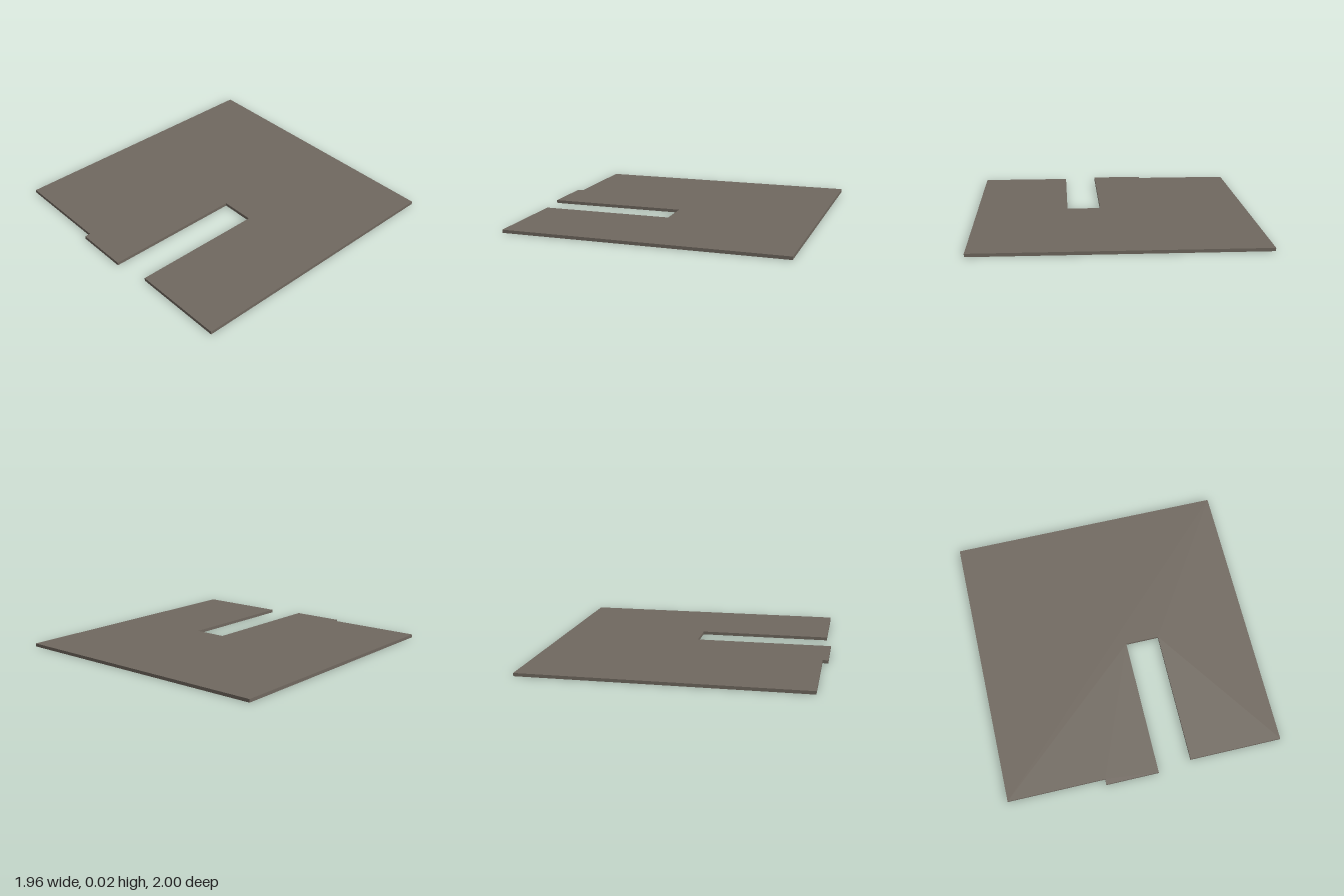
import * as THREE from 'three';

const THICKNESS = 0.022;

// Floor outline as [x, z], with a slot and a small step along the front edge
const OUTLINE = [
  [-0.98, -1], [-0.98, 0.96], [-0.29, 0.96], [-0.29, 1],
  [0.085, 1], [0.085, 0.02], [0.325, 0.02], [0.325, 0.96],
  [0.98, 0.96], [0.98, -1],
];

export function createModel() {
  const group = new THREE.Group();
  group.name = 'floorPlate';

  // Draw the outline flat, extrude it, then lay it down so the depth points up
  const shape = new THREE.Shape(OUTLINE.map(([x, z]) => new THREE.Vector2(x, -z)));
  const geometry = new THREE.ExtrudeGeometry(shape, { depth: THICKNESS, bevelEnabled: false });
  geometry.rotateX(-Math.PI / 2);

  const slab = new THREE.Mesh(geometry, new THREE.MeshStandardMaterial({ color: 0x70685f }));
  slab.name = 'slottedSlab';
  group.add(slab);
  return group;
}
